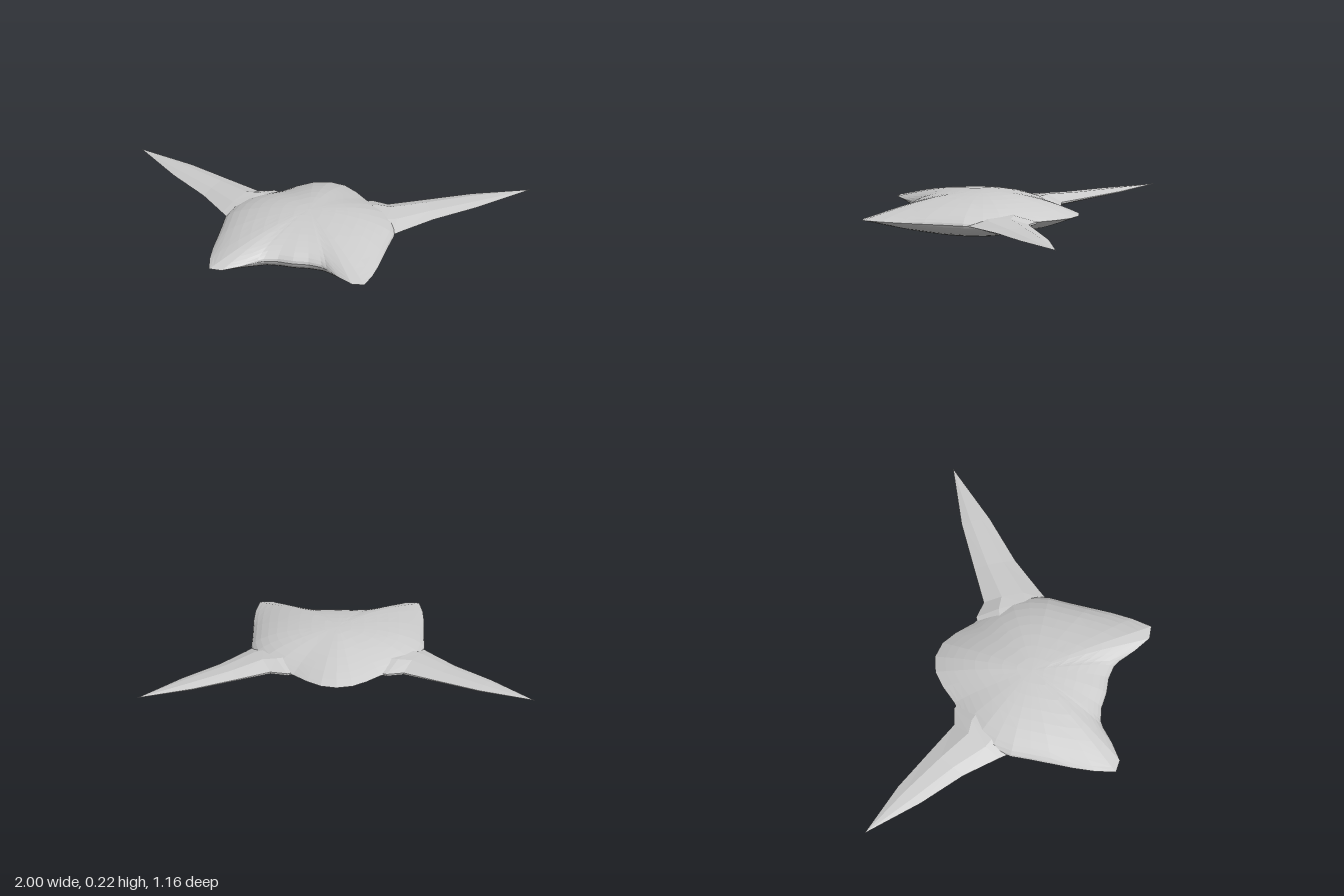
import * as THREE from 'three';

const MID = 0.112;   // height of the rim plane
const HALF = 0.108;  // half thickness of the dome
const CZ = 0.05;     // z of the dome's highest point

const material = () => new THREE.MeshStandardMaterial({ color: 0xcccccc, flatShading: true });

// Skins a list of closed rings (arrays of Vector3), skipping collapsed triangles
function loft(rings) {
  const pos = [];
  const tri = (a, b, c) => {
    if (a.distanceTo(b) < 1e-6 || b.distanceTo(c) < 1e-6 || c.distanceTo(a) < 1e-6) return;
    for (const p of [a, b, c]) pos.push(p.x, p.y, p.z);
  };
  for (let i = 0; i < rings.length - 1; i++) {
    const a = rings[i], b = rings[i + 1], n = a.length;
    for (let j = 0; j < n; j++) {
      const k = (j + 1) % n;
      tri(a[j], b[j], b[k]);
      tri(a[j], b[k], a[k]);
    }
  }
  const geo = new THREE.BufferGeometry();
  geo.setAttribute('position', new THREE.Float32BufferAttribute(pos, 3));
  geo.computeVertexNormals();
  return geo;
}

// Lens-shaped hull with two front prongs: half outline as [x, z, fullness]
function hullGeometry() {
  const half = [
    [0, 0.435, 0.55], [0.08, 0.428, 0.55], [0.15, 0.44, 0.6], [0.18, 0.458, 0.7],
    [0.25, 0.52, 0.95], [0.335, 0.58, 1.15], [0.4, 0.575, 1.15], [0.42, 0.47, 0.95],
    [0.428, 0.36, 0.8], [0.43, 0.25, 0.65], [0.432, 0.14, 0.6], [0.436, 0.04, 0.6],
    [0.42, -0.06, 0.65], [0.385, -0.15, 0.7], [0.32, -0.23, 0.8], [0.22, -0.3, 0.9],
    [0.15, -0.375, 1], [0.08, -0.43, 1], [0, -0.45, 1],
  ];
  const outline = [...half, ...half.slice(1, -1).reverse().map(([x, z, q]) => [-x, z, q])];
  const steps = 10, rings = [];
  for (let i = 0; i <= steps * 2; i++) {
    const a = (i / steps) * Math.PI / 2;
    const s = i % (2 * steps) ? Math.sin(a) : 0;
    const side = i <= steps ? 1 : -1;
    rings.push(outline.map(([x, z, q]) => new THREE.Vector3(
      x * s,
      MID + side * HALF * Math.pow(Math.max(0, 1 - s * s), q),
      CZ + (z - CZ) * s)));
  }
  return loft(rings);
}

// Swept-back wing: sections from root to tip as leading point, trailing point, half thickness
function wingGeometry(mirror) {
  const sections = [
    [0.3, 0.06, 0.2, -0.27, 0.04],
    [0.425, 0.03, 0.25, -0.295, 0.042],
    [0.46, -0.015, 0.335, -0.275, 0.037],
    [0.59, -0.17, 0.5, -0.362, 0.024],
    [0.78, -0.345, 0.72, -0.477, 0.015],
    [1, -0.585, 1, -0.585, 0],
  ];
  const profile = [[0, 0], [0.3, 0.75], [0.68, 1], [1, 0.12], [1, -0.12], [0.68, -1], [0.3, -0.75]];
  return loft(sections.map(([lx, lz, tx, tz, h]) => {
    const ring = profile.map(([t, k]) => new THREE.Vector3(
      mirror * (lx + (tx - lx) * t), MID + h * k, lz + (tz - lz) * t));
    return mirror < 0 ? ring.reverse() : ring;
  }));
}

export function createModel() {
  const group = new THREE.Group();
  group.name = 'wingedSaucer';
  const add = (name, geo) => {
    const mesh = new THREE.Mesh(geo, material());
    mesh.name = name;
    group.add(mesh);
  };
  add('hull', hullGeometry());
  add('leftWing', wingGeometry(1));
  add('rightWing', wingGeometry(-1));
  return group;
}
